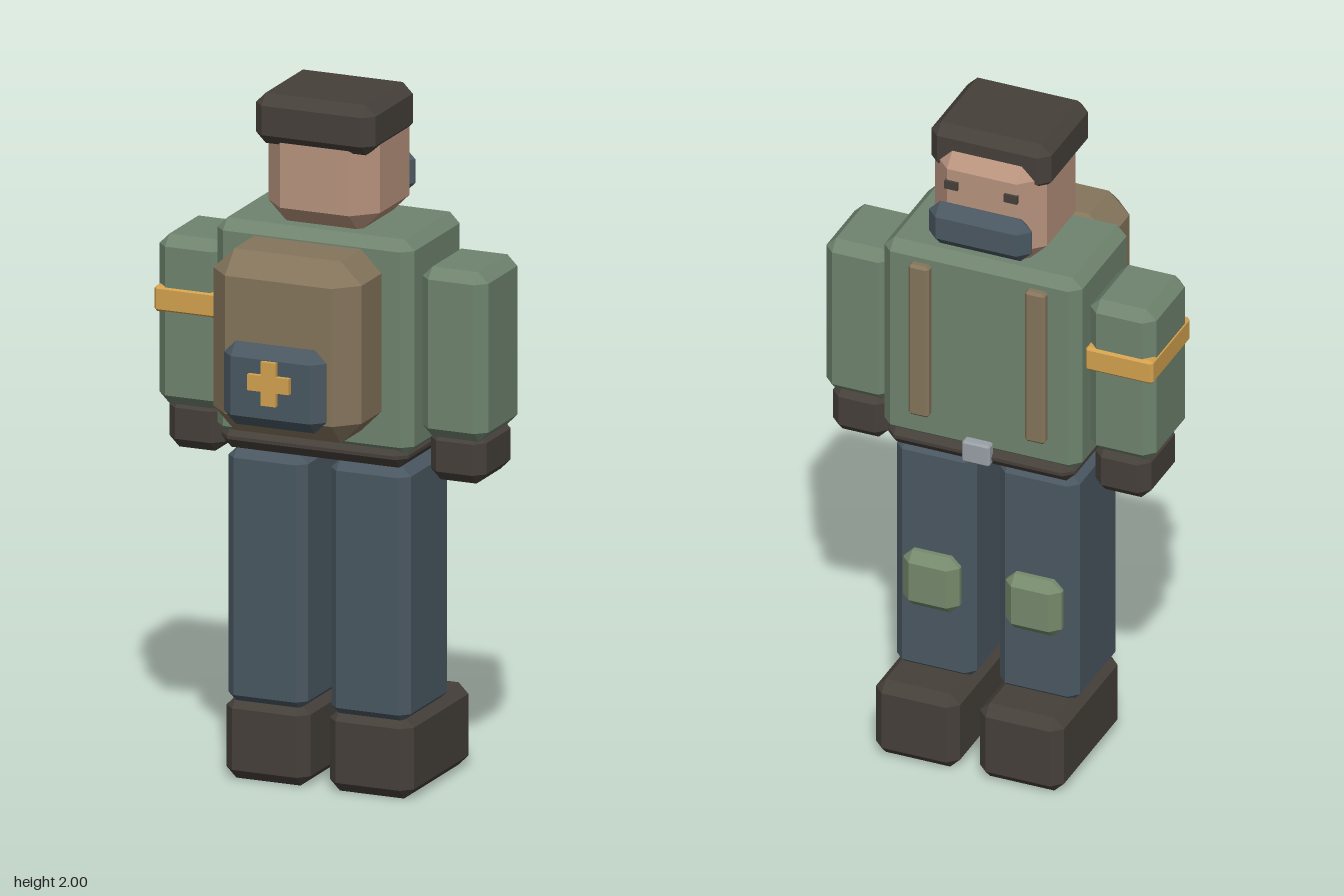
import * as THREE from 'three';
import { ConvexGeometry } from 'three/addons/geometries/ConvexGeometry.js';

const material = (color) => new THREE.MeshStandardMaterial({ color, flatShading: true });

// Box whose edges and corners are cut off by c, centred on its own origin
function chamferBox(w, h, d, c) {
  if (!c) return new THREE.BoxGeometry(w, h, d);
  const points = [];
  for (const sx of [-1, 1]) for (const sy of [-1, 1]) for (const sz of [-1, 1]) {
    for (let face = 0; face < 3; face++) {
      points.push(new THREE.Vector3(
        sx * (w / 2 - (face === 0 ? 0 : c)),
        sy * (h / 2 - (face === 1 ? 0 : c)),
        sz * (d / 2 - (face === 2 ? 0 : c))));
    }
  }
  return new ConvexGeometry(points);
}

export function createModel() {
  const model = new THREE.Group();
  model.name = 'backpacker';

  const dark = material(0x46403a);
  const skin = material(0xb8937e);
  const jacket = material(0x6f846f);
  const trousers = material(0x4a5862);
  const canvas = material(0x85755c);
  const amber = material(0xd4a24e);
  const metal = material(0x98a0a6);
  const padGreen = material(0x768a6c);

  // Each part is given by its [min, max] range on x, y and z
  function part(name, mat, [x0, x1], [y0, y1], [z0, z1], c = 0, parent = model) {
    const mesh = new THREE.Mesh(chamferBox(x1 - x0, y1 - y0, z1 - z0, c), mat);
    mesh.position.set((x0 + x1) / 2, (y0 + y1) / 2, (z0 + z1) / 2);
    mesh.name = name;
    parent.add(mesh);
    return mesh;
  }

  // Torso and belt
  part('torso', jacket, [-0.3, 0.3], [1.0, 1.625], [-0.285, 0.08], 0.03);
  part('belt', dark, [-0.285, 0.285], [0.965, 1.035], [-0.295, 0.085], 0.03);
  part('buckle', metal, [-0.042, 0.042], [0.98, 1.048], [-0.313, -0.28], 0.006);

  // Head, cap and mask; the face looks toward -z
  part('head', skin, [-0.17, 0.17], [1.61, 1.96], [-0.268, 0.06], 0.065);
  part('cap', dark, [-0.182, 0.182], [1.855, 2.0], [-0.23, 0.082], 0.03);
  part('mask', trousers, [-0.155, 0.155], [1.655, 1.79], [-0.31, -0.24], 0.033);

  // Paired parts
  for (const s of [-1, 1]) {
    const side = new THREE.Group();
    side.name = s > 0 ? 'leftSide' : 'rightSide';
    model.add(side);
    const span = (a, b) => (s > 0 ? [a, b] : [-b, -a]);
    part('eye', dark, span(0.07, 0.11), [1.835, 1.86], [-0.276, -0.25], 0, side);
    part('strap', canvas, span(0.145, 0.207), [1.09, 1.58], [-0.308, -0.27], 0.008, side);
    part('arm', jacket, span(0.3, 0.5), [1.05, 1.54], [-0.23, 0.026], 0.03, side);
    part('hand', dark, span(0.313, 0.482), [0.92, 1.07], [-0.225, 0.0], 0.03, side);
    part('leg', trousers, span(0.035, 0.277), [0.22, 0.96], [-0.247, 0.052], 0.027, side);
    part('kneePad', padGreen, span(0.07, 0.24), [0.445, 0.622], [-0.29, -0.22], 0.028, side);
    part('boot', dark, span(0.03, 0.285), [0.0, 0.238], [-0.378, 0.052], 0.03, side);
  }

  // Band around one arm
  part('armBand', amber, [-0.503, -0.298], [1.32, 1.395], [-0.237, 0.031], 0.008);

  // Backpack with pouch and cross
  const backpack = new THREE.Group();
  backpack.name = 'backpack';
  model.add(backpack);
  part('bag', canvas, [-0.225, 0.225], [1.075, 1.6], [0.045, 0.306], 0.063, backpack);
  part('pouch', trousers, [-0.155, 0.155], [1.12, 1.36], [0.29, 0.362], 0.035, backpack);
  const r = 0.063, t = 0.023;
  const outline = [[t, r], [t, t], [r, t], [r, -t], [t, -r], [-t, -r], [-r, -t], [-r, t], [-t, t], [-t, r]];
  outline.splice(4, 0, [t, -t]);
  outline.splice(6, 0, [-t, -r], [-t, -t]);
  outline.splice(8, 1);
  const cross = new THREE.Mesh(
    new THREE.ExtrudeGeometry(new THREE.Shape(outline.map(([x, y]) => new THREE.Vector2(x, y))),
      { depth: 0.025, bevelEnabled: false }), amber);
  cross.position.set(0, 1.26, 0.352);
  cross.name = 'cross';
  backpack.add(cross);

  return model;
}
